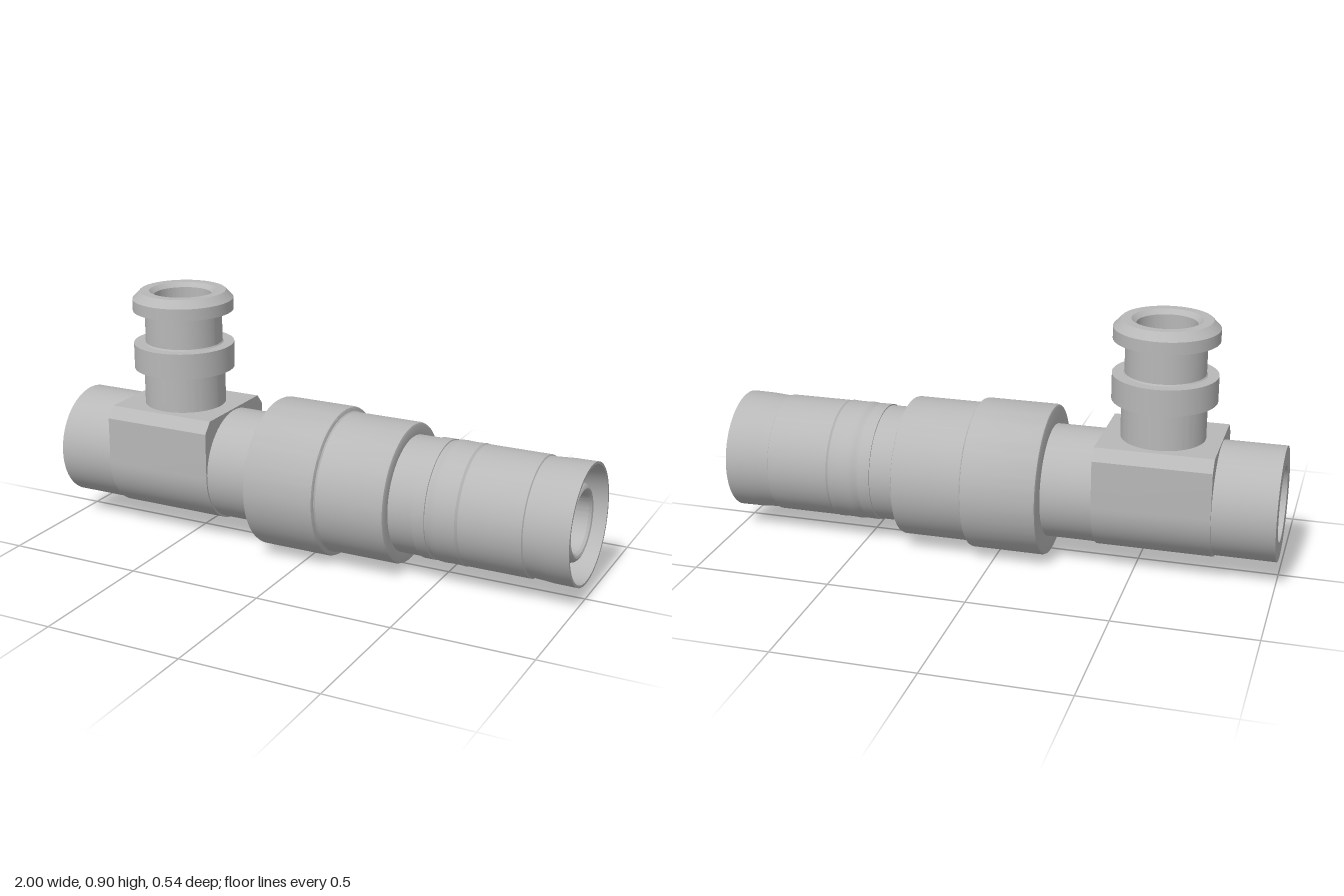
import * as THREE from 'three';
import { toCreasedNormals } from 'three/addons/utils/BufferGeometryUtils.js';

const AXIS_Y = 0.276;    // height of the main axis
const BORE = 0.105;      // radius of both bores
const BRANCH_X = -0.573; // position of the side branch
const BLOCK = [-0.78, -0.365];
const SEG = 96;

const metal = new THREE.MeshStandardMaterial({ color: 0xb8b8b8, side: THREE.DoubleSide });
metal.name = 'grey metal';

function part(name, geometry, crease = 0.5) {
  const mesh = new THREE.Mesh(toCreasedNormals(geometry, crease), metal);
  mesh.name = name;
  return mesh;
}

// Turned profile given as [distance along axis, radius]
function turned(points) {
  return new THREE.LatheGeometry(points.map(([a, r]) => new THREE.Vector2(r, a)), SEG);
}

// Turned profile lying along the main axis
function turnedX(name, points) {
  return part(name, turned(points).rotateZ(-Math.PI / 2).translate(0, AXIS_Y, 0));
}

// Surface patch from a rule fn(u, v) -> [x, y, z]
function patch(nu, nv, fn) {
  const pos = [], index = [];
  for (let i = 0; i <= nu; i++)
    for (let j = 0; j <= nv; j++) pos.push(...fn(i / nu, j / nv));
  for (let i = 0; i < nu; i++)
    for (let j = 0; j < nv; j++) {
      const a = i * (nv + 1) + j, b = a + nv + 1;
      index.push(a, a + 1, b, b, a + 1, b + 1);
    }
  const g = new THREE.BufferGeometry();
  g.setAttribute('position', new THREE.Float32BufferAttribute(pos, 3));
  g.setIndex(index);
  return g;
}

function circleHole(x, y, r) {
  return new THREE.Path().absarc(x, y, r, 0, Math.PI * 2, true);
}

function makeBlock() {
  const block = new THREE.Group();
  block.name = 'branchBlock';
  const w = 0.209, flat = 0.175, top = 0.485, shoulder = 0.445;

  // Section in (z, y): chamfered top, flat sides, half-round bottom
  const section = [[flat, top], [w, shoulder]];
  for (let i = 0; i <= 40; i++) {
    const a = (i / 40) * Math.PI;
    section.push([w * Math.cos(a), AXIS_Y - w * Math.sin(a)]);
  }
  section.push([-w, shoulder], [-flat, top]);
  const n = section.length - 1;
  block.add(part('blockSides', patch(n, 1, (u, v) => {
    const [z, y] = section[Math.round(u * n)];
    return [BLOCK[0] + v * (BLOCK[1] - BLOCK[0]), y, z];
  })));

  // Top face, open for the branch bore
  const topShape = new THREE.Shape([
    new THREE.Vector2(BLOCK[0], -flat), new THREE.Vector2(BLOCK[1], -flat),
    new THREE.Vector2(BLOCK[1], flat), new THREE.Vector2(BLOCK[0], flat),
  ]);
  topShape.holes.push(circleHole(BRANCH_X, 0, 0.148));
  block.add(part('blockTop',
    new THREE.ShapeGeometry(topShape, 48).rotateX(-Math.PI / 2).translate(0, top, 0)));

  // End faces, open for the main tube
  for (const side of [-1, 1]) {
    const end = new THREE.Shape(section.map(([z, y]) => new THREE.Vector2(z, y)));
    end.holes.push(circleHole(0, AXIS_Y, 0.202));
    const g = new THREE.ShapeGeometry(end, 48).rotateY(side * Math.PI / 2);
    block.add(part('blockEnd', g.translate(side < 0 ? BLOCK[0] : BLOCK[1], 0, 0)));
  }
  return block;
}

function makeBores() {
  const bores = new THREE.Group();
  bores.name = 'boreJunction';
  // Main bore under the branch, opened upward where the branch enters
  bores.add(part('mainBore', patch(48, 64, (u, v) => {
    const d = -Math.cos(u * Math.PI) * BORE;
    const open = Math.asin(Math.min(1, Math.sqrt(Math.max(0, BORE * BORE - d * d)) / BORE));
    const a = open + v * (Math.PI * 2 - 2 * open);
    return [BRANCH_X + d, AXIS_Y + BORE * Math.cos(a), BORE * Math.sin(a)];
  })));
  // Branch bore, trimmed to the main bore
  bores.add(part('branchBore', patch(SEG, 1, (u, v) => {
    const a = u * Math.PI * 2, z = BORE * Math.sin(a);
    const low = AXIS_Y + Math.sqrt(Math.max(0, BORE * BORE - z * z));
    return [BRANCH_X + BORE * Math.cos(a), low + v * (0.893 - low), z];
  })));
  return bores;
}

export function createModel() {
  const model = new THREE.Group();
  model.name = 'pipeFitting';

  // Left end with counterbore
  model.add(turnedX('inletTube', [
    [BRANCH_X - BORE, BORE], [-0.89, BORE], [-0.9, 0.135], [-1, 0.135],
    [-1, 0.203], [BLOCK[0], 0.203],
  ]));

  // Collars with rounded edges
  model.add(turnedX('collars', [
    [BLOCK[1], 0.203], [-0.182, 0.203], [-0.182, 0.262], [-0.179, 0.269], [-0.172, 0.272],
    [0.082, 0.272], [0.089, 0.269], [0.092, 0.262], [0.093, 0.257], [0.098, 0.253],
    [0.342, 0.253], [0.35, 0.25], [0.353, 0.243], [0.353, 0.21], [0.445, 0.21],
  ]));

  // Grooved sleeve ending in a cup around the nozzle
  model.add(turnedX('sleeveAndNozzle', [
    [0.445, 0.21], [0.445, 0.214], [0.488, 0.214], [0.489, 0.21], [0.497, 0.21], [0.505, 0.214],
    [0.525, 0.216], [0.55, 0.2145], [0.58, 0.2145], [0.6, 0.216], [0.606, 0.211], [0.61, 0.214],
    [0.836, 0.214], [0.839, 0.209], [0.845, 0.209], [0.88, 0.211], [0.92, 0.214], [1, 0.215],
    [1, 0.206], [0.87, 0.195], [0.87, 0.137], [0.955, 0.137], [0.965, 0.134],
    [0.972, 0.127], [0.975, 0.12], [0.972, 0.112], [0.963, 0.106], [0.95, BORE],
    [BRANCH_X + BORE, BORE],
  ]));

  model.add(makeBlock());
  model.add(makeBores());

  // Flanged side branch
  const branch = part('sideBranch', turned([
    [0.484, 0.149], [0.622, 0.149], [0.622, 0.184], [0.715, 0.184], [0.715, 0.145], [0.72, 0.141],
    [0.838, 0.141], [0.838, 0.184], [0.881, 0.184], [0.909, 0.157], [0.909, 0.122], [0.893, BORE],
  ]));
  branch.position.x = BRANCH_X;
  model.add(branch);

  return model;
}
